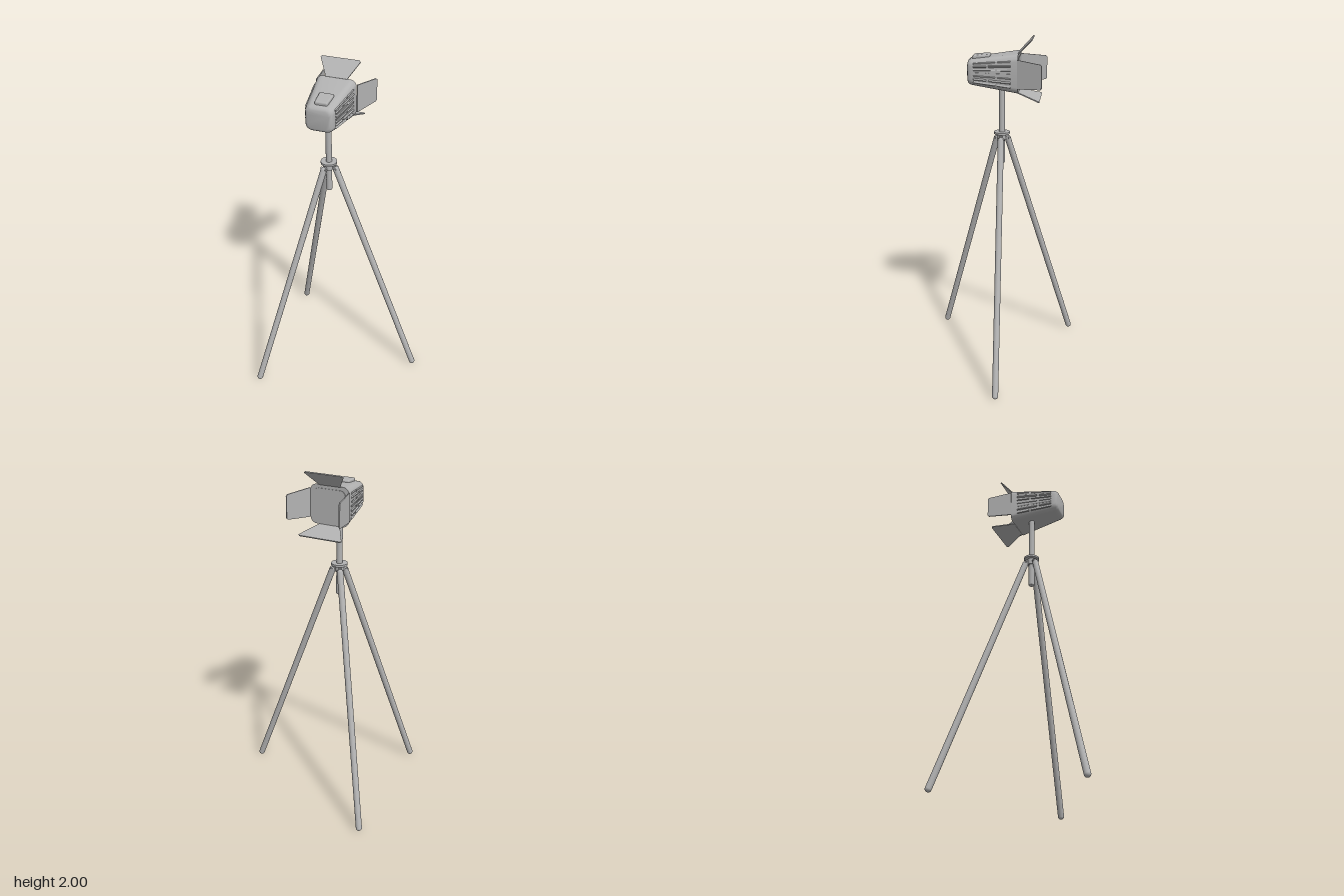
import * as THREE from 'three';
import { toCreasedNormals } from 'three/addons/utils/BufferGeometryUtils.js';
import { RoundedBoxGeometry } from 'three/addons/geometries/RoundedBoxGeometry.js';

const V = (x, y, z) => new THREE.Vector3(x, y, z);
const COL_X = -0.104;              // column axis
const HEAD_X = -0.09, HEAD_Y = 1.812; // lamp head axis

// Half sizes of the tapered head at depth z
function headSize(z) {
  const k = (0.165 - z) / 0.265;
  return { w: 0.078 + 0.034 * k, h: 0.072 + 0.036 * k };
}

// Counter-clockwise rounded rectangle
function roundedRing(w, h, r, z) {
  const pts = [];
  const corners = [[1, 1], [-1, 1], [-1, -1], [1, -1]];
  corners.forEach(([sx, sy], q) => {
    for (let i = 0; i <= 6; i++) {
      const a = (q + i / 6) * Math.PI / 2;
      pts.push(V(sx * (w - r) + r * Math.cos(a), sy * (h - r) + r * Math.sin(a), z));
    }
  });
  return pts;
}

// Closed solid through rings ordered towards +z
function loft(rings) {
  const n = rings[0].length, pos = [], index = [];
  rings.forEach(ring => ring.forEach(p => pos.push(p.x, p.y, p.z)));
  for (let s = 0; s < rings.length - 1; s++) {
    for (let i = 0; i < n; i++) {
      const a = s * n + i, b = s * n + (i + 1) % n;
      index.push(a, b, a + n, b, b + n, a + n);
    }
  }
  const last = (rings.length - 1) * n;
  for (let i = 1; i < n - 1; i++) {
    index.push(0, i + 1, i);
    index.push(last, last + i, last + i + 1);
  }
  const g = new THREE.BufferGeometry();
  g.setAttribute('position', new THREE.Float32BufferAttribute(pos, 3));
  g.setIndex(index);
  return toCreasedNormals(g, 0.7);
}

// Flared plate hinged at a point; across and along are its two directions
function flap(hinge, across, along, inner, outer, material) {
  const length = along.length(), c = 0.008;
  const s = new THREE.Shape();
  s.moveTo(-inner, 0);
  s.lineTo(inner, 0);
  s.lineTo(outer, length - c);
  s.lineTo(outer - c, length);
  s.lineTo(c - outer, length);
  s.lineTo(-outer, length - c);
  s.closePath();
  const g = new THREE.ExtrudeGeometry(s, { depth: 0.006, bevelEnabled: false });
  g.translate(0, 0, -0.003);
  const v = along.clone().normalize(), u = across.clone().normalize();
  const m = new THREE.Matrix4().makeBasis(u, v, u.clone().cross(v)).setPosition(hinge);
  g.applyMatrix4(m);
  const mesh = new THREE.Mesh(g, material);
  mesh.name = 'barnDoor';
  return mesh;
}

export function createModel() {
  const model = new THREE.Group();
  model.name = 'tripodLamp';
  const metal = new THREE.MeshStandardMaterial({ color: 0xb3b3b3 });
  metal.name = 'grey metal';

  const add = (geometry, name, x = 0, y = 0, z = 0, parent = model) => {
    const mesh = new THREE.Mesh(geometry, metal);
    mesh.name = name;
    mesh.position.set(x, y, z);
    parent.add(mesh);
    return mesh;
  };

  // Tripod legs with pivots
  const legs = [
    [V(-0.062, 1.415, 0.002), V(0.442, 0.018, -0.022)],
    [V(-0.124, 1.415, -0.032), V(-0.444, 0.018, -0.42)],
    [V(-0.124, 1.415, 0.032), V(-0.444, 0.018, 0.417)],
  ];
  const up = V(0, 1, 0);
  for (const [top, foot] of legs) {
    const dir = top.clone().sub(foot);
    const mid = top.clone().add(foot).multiplyScalar(0.5);
    const leg = add(new THREE.CapsuleGeometry(0.018, dir.length(), 5, 20), 'leg', mid.x, mid.y, mid.z);
    leg.quaternion.setFromUnitVectors(up, dir.normalize());
    const out = V(top.x - COL_X, 0, top.z);
    const lug = add(new THREE.BoxGeometry(0.016, 0.024, out.length()), 'legLug',
      COL_X + out.x / 2, 1.427, out.z / 2);
    lug.rotation.y = Math.atan2(out.x, out.z);
    const pin = add(new THREE.CylinderGeometry(0.006, 0.006, 0.042, 12), 'legPin', top.x, 1.42, top.z);
    pin.quaternion.setFromUnitVectors(up, V(out.z, 0, -out.x).normalize());
  }

  // Centre column and collar
  add(new THREE.CylinderGeometry(0.017, 0.017, 0.47, 24), 'column', COL_X, 1.51, 0);
  add(new THREE.SphereGeometry(0.017, 20, 8, 0, Math.PI * 2, Math.PI / 2, Math.PI / 2)
    .scale(1, 0.4, 1), 'columnTip', COL_X, 1.275, 0);
  add(new THREE.CylinderGeometry(0.046, 0.046, 0.012, 32), 'collarDisc', COL_X, 1.453, 0);
  add(new THREE.CylinderGeometry(0.025, 0.025, 0.04, 24), 'collarHub', COL_X, 1.43, 0);

  // Lamp head, tapered towards the front with a softened end
  const head = new THREE.Group();
  head.name = 'lampHead';
  head.position.set(HEAD_X, HEAD_Y, 0);
  model.add(head);
  const rings = [[-0.1, 0], [0.03, 0], [0.16, 0], [0.174, 0.003], [0.183, 0.009], [0.187, 0.02]]
    .map(([z, inset]) => {
      const { w, h } = headSize(Math.min(z, 0.165));
      return roundedRing(w - inset, h - inset, 0.036 - inset * 0.5, z);
    });
  add(loft(rings), 'housing', 0, 0, 0, head);

  // Lens rim and lens on the rear face
  add(loft([roundedRing(0.092, 0.088, 0.03, -0.103), roundedRing(0.092, 0.088, 0.03, -0.098)]),
    'lens', 0, 0, 0, head);

  // Raised cover on the roof
  const cover = new RoundedBoxGeometry(0.076, 0.05, 0.098, 3, 0.009);
  const p = cover.attributes.position;
  for (let i = 0; i < p.count; i++) p.setX(i, p.getX(i) * (1 - p.getZ(i) * 1.6));
  add(cover, 'roofCover', 0.005, 0.07, 0.11, head).rotation.x = 0.08;

  // Broken rows of cooling ribs on both sides
  for (const side of [-1, 1]) {
    for (let row = 0; row < 7; row++) {
      const t = (row / 6 - 0.5) * 1.35;
      const split = row % 2 ? 0.38 : 0.62;
      for (const [a, b] of [[0, split - 0.03], [split + 0.03, 1]]) {
        const [from, to] = [a, b].map(k => {
          const z = 0.15 - 0.21 * k, { w, h } = headSize(z);
          const corner = Math.max(0, Math.abs(t * h) - (h - 0.036));
          const drop = 0.036 - Math.sqrt(0.036 ** 2 - corner ** 2);
          return V(side * (w - drop), t * h, z);
        });
        const mid = from.clone().add(to).multiplyScalar(0.5);
        const rib = add(new THREE.BoxGeometry(0.01, 0.007, from.distanceTo(to)), 'coolingRib',
          mid.x, mid.y, mid.z, head);
        rib.quaternion.setFromUnitVectors(V(0, 0, 1), to.sub(from).normalize());
      }
    }
  }

  // Four barn doors around the lens
  const X = V(1, 0, 0), Y = V(0, 1, 0);
  model.add(
    flap(V(-0.09, 1.918, -0.097), X, V(0, 0.08, -0.077), 0.06, 0.112, metal),
    flap(V(-0.09, 1.702, -0.097), X, V(0, -0.036, -0.125), 0.06, 0.125, metal),
    flap(V(0.026, 1.815, -0.098), Y, V(0.068, 0, -0.138), 0.08, 0.068, metal),
    flap(V(-0.202, 1.815, -0.098), Y, V(-0.014, 0, -0.15), 0.08, 0.068, metal),
  );
  return model;
}
